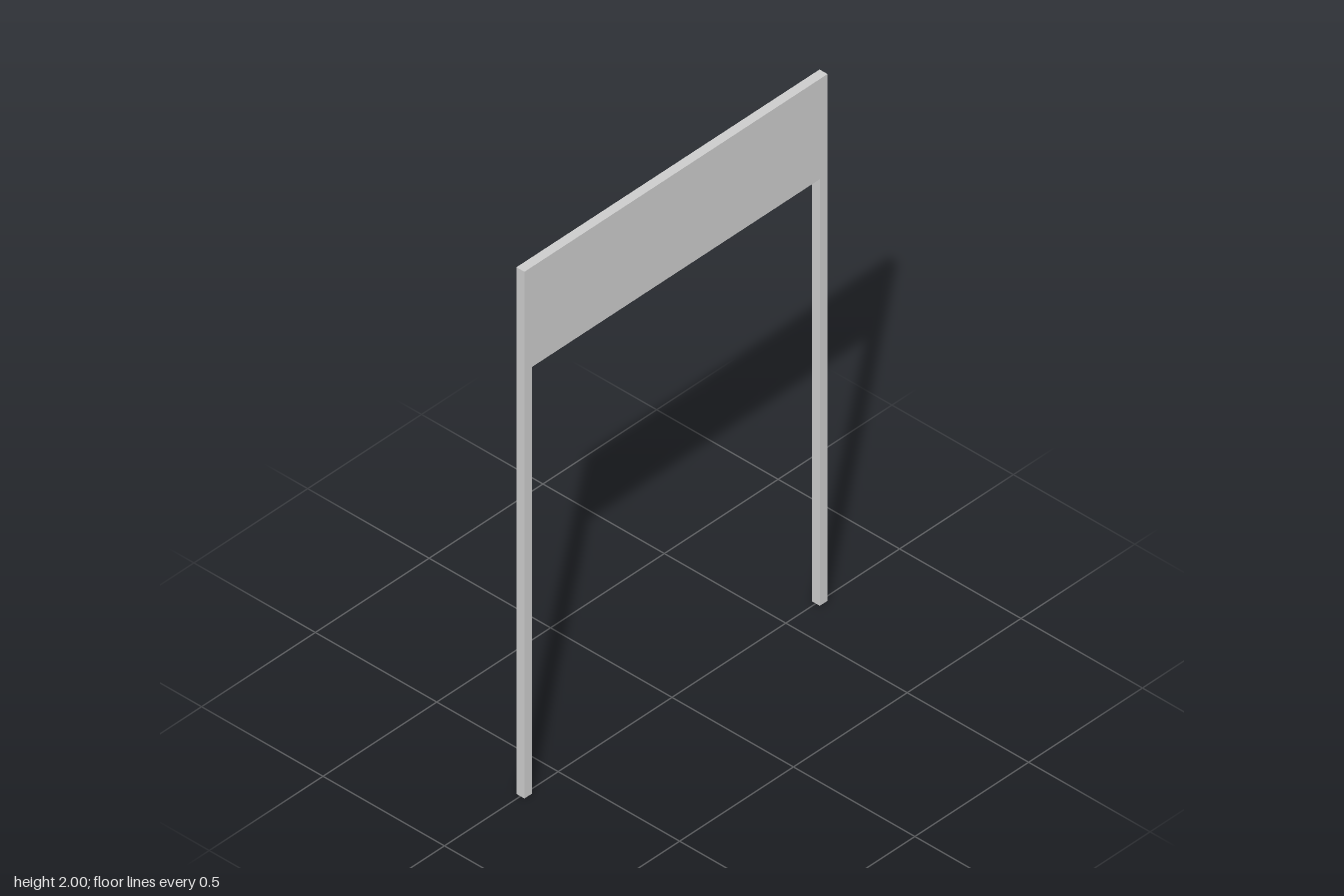
import * as THREE from 'three';

const HALF_WIDTH = 0.666, HEIGHT = 2, DEPTH = 0.033;
const POST = 0.034, BOARD_BOTTOM = 1.62;

export function createModel() {
  const group = new THREE.Group();
  group.name = 'signFrame';

  // two slim posts and the deep header board, cut as one flush outline
  const inner = HALF_WIDTH - POST;
  const outline = new THREE.Shape([
    [-HALF_WIDTH, 0], [-inner, 0], [-inner, BOARD_BOTTOM], [inner, BOARD_BOTTOM],
    [inner, 0], [HALF_WIDTH, 0], [HALF_WIDTH, HEIGHT], [-HALF_WIDTH, HEIGHT],
  ].map(([x, y]) => new THREE.Vector2(x, y)));

  const geometry = new THREE.ExtrudeGeometry(outline, { depth: DEPTH, bevelEnabled: false });
  geometry.translate(0, 0, -DEPTH / 2);

  const frame = new THREE.Mesh(geometry, new THREE.MeshStandardMaterial({ color: 0xcccccc }));
  frame.name = 'postsAndHeaderBoard';
  group.add(frame);
  return group;
}
